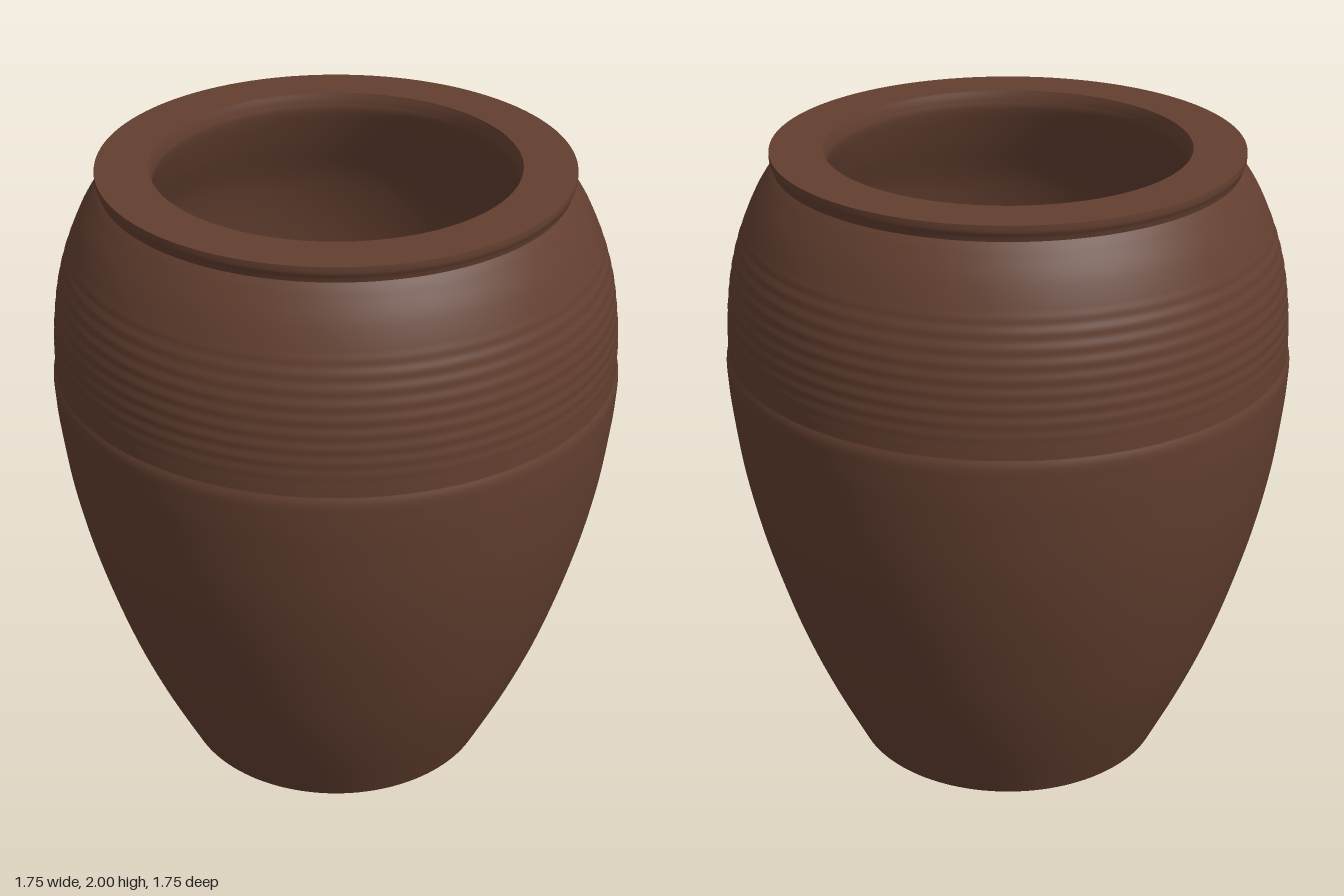
import * as THREE from 'three';

const SIDES = 128;
const v = ([r, y]) => new THREE.Vector2(r, y);

export function createModel() {
  const group = new THREE.Group();
  group.name = 'pot';
  const clay = new THREE.MeshStandardMaterial({ color: 0x633f30 });
  clay.name = 'brown clay';

  // Each section is its own lathe, so the edges between sections stay sharp
  const turn = (name, points) => {
    const mesh = new THREE.Mesh(new THREE.LatheGeometry(points, SIDES), clay);
    mesh.name = name;
    group.add(mesh);
  };
  const smooth = (points, n) => new THREE.SplineCurve(points.map(v)).getPoints(n);

  turn('base', [[0, 0], [0.505, 0]].map(v));

  turn('lowerBody', smooth([
    [0.505, 0], [0.6, 0.2], [0.682, 0.4], [0.748, 0.6], [0.803, 0.8],
    [0.844, 1.0], [0.869, 1.2], [0.876, 1.3], [0.877, 1.345], [0.87, 1.37],
  ], 60));

  // Shoulder with shallow throwing rings in its lower half
  const shoulder = smooth([
    [0.87, 1.37], [0.868, 1.45], [0.859, 1.55], [0.842, 1.65], [0.812, 1.75],
    [0.769, 1.85], [0.727, 1.92], [0.705, 1.95],
  ], 120);
  for (const p of shoulder) {
    const band = THREE.MathUtils.smoothstep(p.y, 1.38, 1.5) * (1 - THREE.MathUtils.smoothstep(p.y, 1.74, 1.8));
    p.x += 0.0012 * band * Math.sin(p.y * 150);
  }
  turn('shoulder', shoulder);

  // Flared lip and flat rim
  turn('lip', smooth([[0.705, 1.95], [0.709, 1.965], [0.715, 1.98], [0.715, 2]], 10));
  turn('rim', [[0.715, 2], [0.555, 2]].map(v));

  // Hollow inside, wider than the mouth, with a rounded floor
  turn('inside', smooth([
    [0.555, 2], [0.548, 1.97], [0.55, 1.93], [0.59, 1.82], [0.66, 1.65],
    [0.7, 1.45], [0.71, 1.25], [0.69, 1.0], [0.65, 0.8], [0.595, 0.55],
    [0.545, 0.35], [0.505, 0.23], [0.46, 0.17], [0.4, 0.15], [0.2, 0.15], [0, 0.15],
  ], 90).map((p) => p.setX(Math.max(p.x, 0))));

  return group;
}
